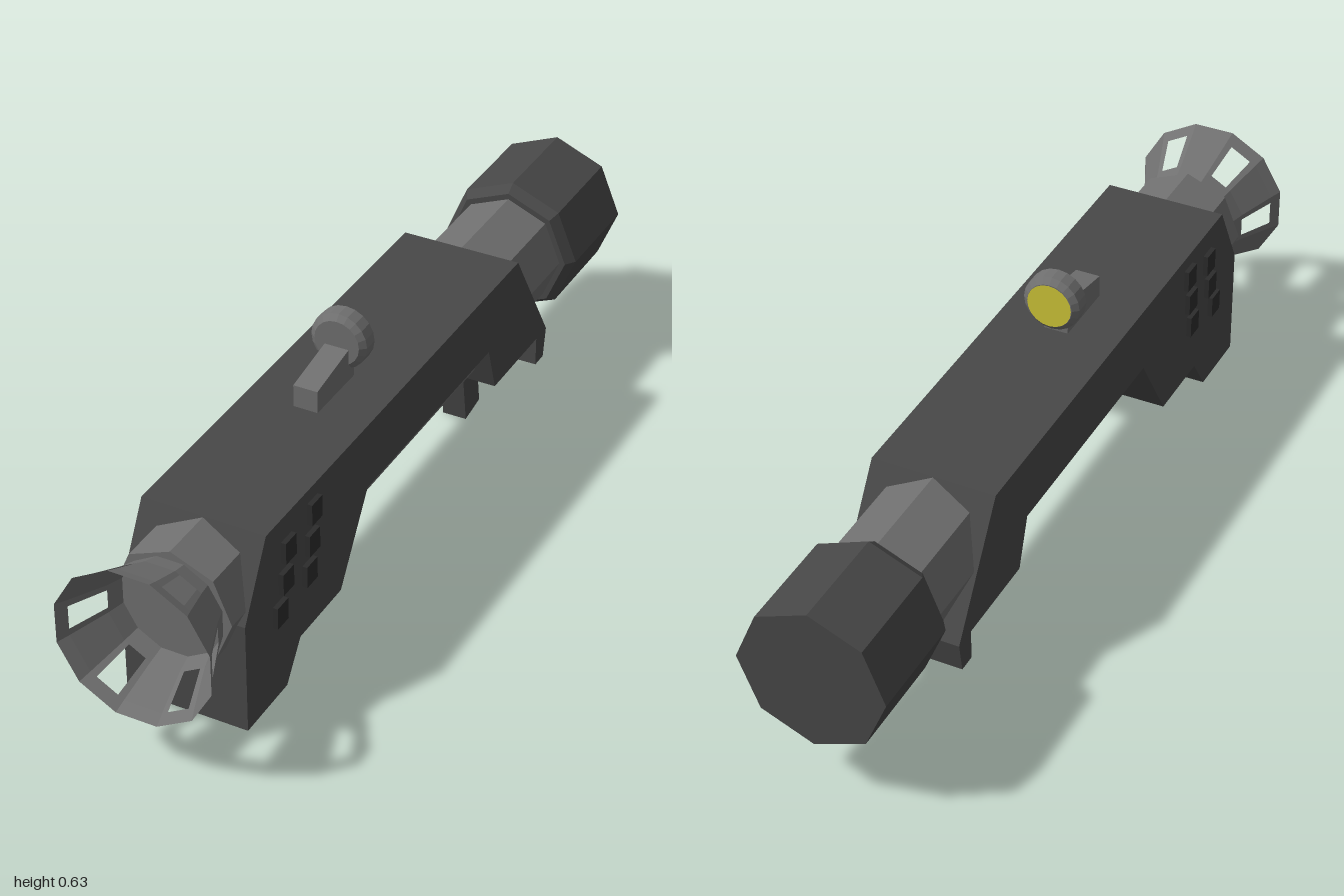
import * as THREE from 'three';

const mat = (color, extra = {}) => new THREE.MeshStandardMaterial({ color, flatShading: true, ...extra });
const DARK = mat(0x484848), STEEL = mat(0x707070), BLACK = mat(0x2c2c2c), LENS = mat(0xd0c638);
const SHELL = mat(0x707070, { side: THREE.DoubleSide });
const AXIS_Y = 0.33;

function add(parent, name, geometry, material, x = 0, y = 0, z = 0) {
  const mesh = new THREE.Mesh(geometry, material);
  mesh.name = name;
  mesh.position.set(x, y, z);
  parent.add(mesh);
  return mesh;
}

// Cylinder lying along x from x0 (radius r0) to x1 (radius r1)
function tube(parent, name, material, x0, x1, r0, r1, y = AXIS_Y, sides = 8, open = false) {
  const g = new THREE.CylinderGeometry(r1, r0, x1 - x0, sides, 1, open).rotateZ(-Math.PI / 2);
  return add(parent, name, g, material, (x0 + x1) / 2, y);
}

// Side outline extruded across the width, centred on z = 0
function slab(points, width) {
  const shape = new THREE.Shape(points.map(p => new THREE.Vector2(...p)));
  return new THREE.ExtrudeGeometry(shape, { depth: width, bevelEnabled: false }).translate(0, 0, -width / 2);
}

// Twelve-sided flared cone with a slot cut in every other facet
function flareGeometry() {
  const pos = [];
  const rows = [0, 0.25, 0.82, 1], cols = [0, 0.18, 0.82, 1];
  const corner = (k, t, s) => {
    const x = THREE.MathUtils.lerp(-0.87, -1.03, t);
    const r = 0.125 + 0.067 * Math.pow(t, 1.2);
    const a0 = (k - 0.5) * Math.PI / 6, a1 = a0 + Math.PI / 6;
    return [x, AXIS_Y + r * THREE.MathUtils.lerp(Math.sin(a0), Math.sin(a1), s),
      r * THREE.MathUtils.lerp(Math.cos(a0), Math.cos(a1), s)];
  };
  for (let k = 0; k < 12; k++) for (let i = 0; i < 3; i++) for (let j = 0; j < 3; j++) {
    if (k % 2 === 0 && i === 1 && j === 1) continue;
    const a = corner(k, rows[i], cols[j]), b = corner(k, rows[i + 1], cols[j]);
    const c = corner(k, rows[i + 1], cols[j + 1]), d = corner(k, rows[i], cols[j + 1]);
    pos.push(...a, ...c, ...b, ...a, ...d, ...c);
  }
  const g = new THREE.BufferGeometry();
  g.setAttribute('position', new THREE.Float32BufferAttribute(pos, 3));
  g.computeVertexNormals();
  return g;
}

export function createModel() {
  const root = new THREE.Group();
  root.name = 'launcher';
  const gun = new THREE.Group();
  gun.name = 'launcherBody';
  gun.rotation.y = 0.467;
  root.add(gun);

  // Main housing with stepped grip block at the muzzle end and hooked rear
  add(gun, 'housing', slab([
    [-0.735, 0.475], [-0.83, 0.3], [-0.83, 0.022], [-0.658, 0.022], [-0.596, 0.112],
    [-0.41, 0.112], [-0.283, 0.31], [0.333, 0.31], [0.372, 0.19], [0.607, 0.19],
    [0.607, 0.115], [0.65, 0.115], [0.663, 0.19], [0.484, 0.475],
  ], 0.3), DARK);

  // Barrel running through the housing
  tube(gun, 'barrel', STEEL, -0.87, 0.75, 0.143, 0.143);

  // Slotted muzzle flare
  add(gun, 'muzzleFlare', flareGeometry(), SHELL);

  // Heavy rear cap with a chamfered front edge
  tube(gun, 'rearCapChamfer', DARK, 0.745, 0.77, 0.158, 0.176);
  tube(gun, 'rearCap', DARK, 0.77, 1.03, 0.176, 0.176);

  // Sight: mount, rounded ring and lens
  const sight = new THREE.Group();
  sight.name = 'sight';
  gun.add(sight);
  add(sight, 'sightMount', slab([[-0.29, 0.47], [-0.12, 0.47], [-0.12, 0.56], [-0.29, 0.53]], 0.06), STEEL);
  const profile = [[0, -0.03], [0.056, -0.03], [0.07, -0.018], [0.07, 0.018], [0.056, 0.03], [0, 0.03]];
  const ring = new THREE.LatheGeometry(profile.map(p => new THREE.Vector2(...p)), 20).rotateZ(-Math.PI / 2);
  add(sight, 'sightRing', ring, STEEL, -0.115, 0.565);
  add(sight, 'sightLens', new THREE.CircleGeometry(0.055, 20).rotateY(Math.PI / 2), LENS, -0.083, 0.565);

  // Slanted trigger post
  add(gun, 'trigger', slab([[0.435, 0.2], [0.465, 0], [0.54, 0.014], [0.512, 0.2]], 0.062), DARK);

  // Two slanted rows of vents on each side
  const vents = [[-0.535, 0.415], [-0.547, 0.34], [-0.56, 0.267], [-0.65, 0.39], [-0.663, 0.316], [-0.69, 0.245]];
  for (const side of [-1, 1]) for (const [x, y] of vents)
    add(gun, 'vent', new THREE.BoxGeometry(0.046, 0.054, 0.024), BLACK, x, y, side * 0.15);

  return root;
}
